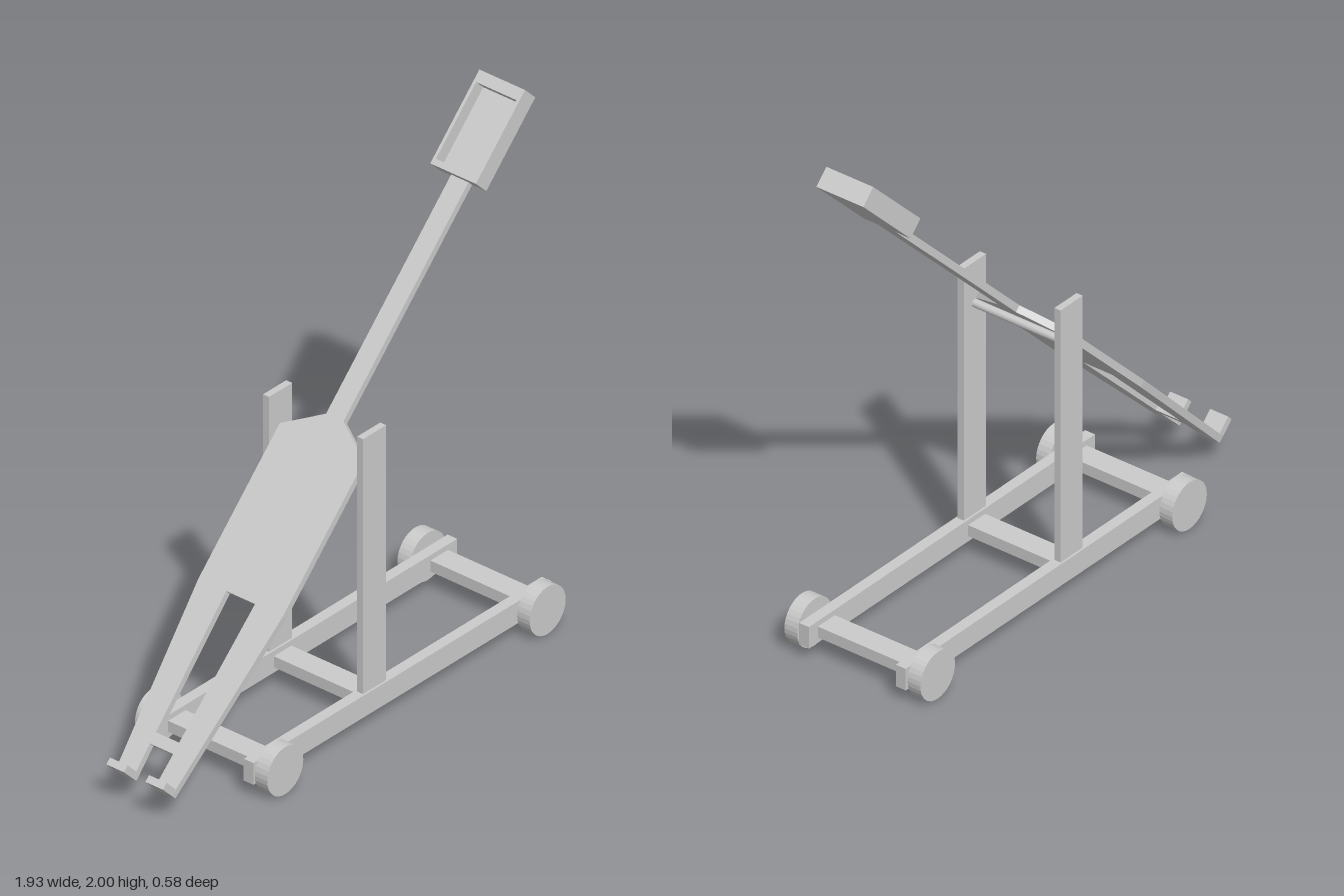
import * as THREE from 'three';

const material = new THREE.MeshStandardMaterial({ color: 0xcccccc, flatShading: true });

function add(parent, name, geometry, x = 0, y = 0, z = 0) {
  const mesh = new THREE.Mesh(geometry, material);
  mesh.name = name;
  mesh.position.set(x, y, z);
  parent.add(mesh);
  return mesh;
}

// Box given by its limits on each axis
function block(parent, name, [x0, x1], [y0, y1], [z0, z1]) {
  return add(parent, name, new THREE.BoxGeometry(x1 - x0, y1 - y0, z1 - z0),
    (x0 + x1) / 2, (y0 + y1) / 2, (z0 + z1) / 2);
}

// Cylinder lying along z
function rod(parent, name, radius, length, x, y, z, sides) {
  const geometry = new THREE.CylinderGeometry(radius, radius, length, sides).rotateX(Math.PI / 2);
  return add(parent, name, geometry, x, y, z);
}

const points = (list) => list.map(([x, y]) => new THREE.Vector2(x, y));

// Flat plate: outline in x and width, thickness going up
function plate(parent, name, outline, hole, thickness, y = 0) {
  const shape = new THREE.Shape(points(outline));
  shape.holes.push(new THREE.Path(points(hole)));
  const geometry = new THREE.ExtrudeGeometry(shape, { depth: thickness, bevelEnabled: false });
  geometry.rotateX(-Math.PI / 2);
  return add(parent, name, geometry, 0, y, 0);
}

export function createModel() {
  const model = new THREE.Group();
  model.name = 'catapult';

  // Wheeled frame
  const frame = new THREE.Group();
  frame.name = 'frame';
  model.add(frame);
  const wheelXs = [-0.535, 0.805];
  for (const s of [1, -1]) {
    const side = s > 0 ? 'left' : 'right';
    const span = (a, b) => [Math.min(s * a, s * b), Math.max(s * a, s * b)];
    block(frame, side + 'Rail', [-0.625, 0.897], [0.053, 0.138], span(0.185, 0.227));
    block(frame, side + 'Post', [-0.055, 0.063], [0.1, 1.133], span(0.193, 0.219));
    for (const x of wheelXs) {
      rod(frame, side + 'Wheel', 0.092, 0.055, x, 0.092, s * 0.2625, 32);
      rod(frame, side + 'WheelAxle', 0.02, 0.03, x, 0.092, s * 0.235, 12);
    }
  }
  for (const x of [wheelXs[0], 0.005, wheelXs[1]]) {
    block(frame, 'crossbar', [x - 0.045, x + 0.045], [0.074, 0.117], [-0.19, 0.19]);
  }

  // Pivot rod between the posts
  rod(model, 'pivot', 0.015, 0.39, 0.005, 0.97, 0, 16);

  // Tilted throwing arm, built flat along x
  const arm = new THREE.Group();
  arm.name = 'throwingArm';
  arm.position.set(-0.903, 0.088, 0);
  arm.rotation.z = Math.atan2(1.857, 1.867);
  model.add(arm);
  const thickness = 0.026;

  // Plate with two prongs, shoulders and a narrow stem
  const half = [[0, 0.047], [0, 0.124], [0.7, 0.185], [1.286, 0.185], [1.378, 0.038], [2.29, 0.038]];
  const mirrored = half.map(([x, w]) => [x, -w]).reverse();
  plate(arm, 'armPlate', [...half, ...mirrored, [0.13, -0.051], [0.13, 0.051]],
    [[0.173, -0.051], [0.7, -0.063], [0.7, 0.063], [0.173, 0.051]], thickness);

  // Upturned hooks at the prong ends
  for (const s of [1, -1]) {
    const hook = block(arm, 'hook', [0, thickness], [0, 0.09], [-0.0385, 0.0385]);
    hook.position.z = s * 0.0855;
  }

  // Open bucket at the far end
  const bucket = new THREE.Group();
  bucket.name = 'bucket';
  arm.add(bucket);
  block(bucket, 'bucketFloor', [2.279, 2.633], [0, 0.023], [-0.1, 0.1]);
  plate(bucket, 'bucketWalls',
    [[2.279, -0.1], [2.633, -0.1], [2.633, 0.1], [2.279, 0.1]],
    [[2.301, -0.088], [2.59, -0.088], [2.59, 0.088], [2.301, 0.088]], 0.052, 0.023);

  return model;
}
